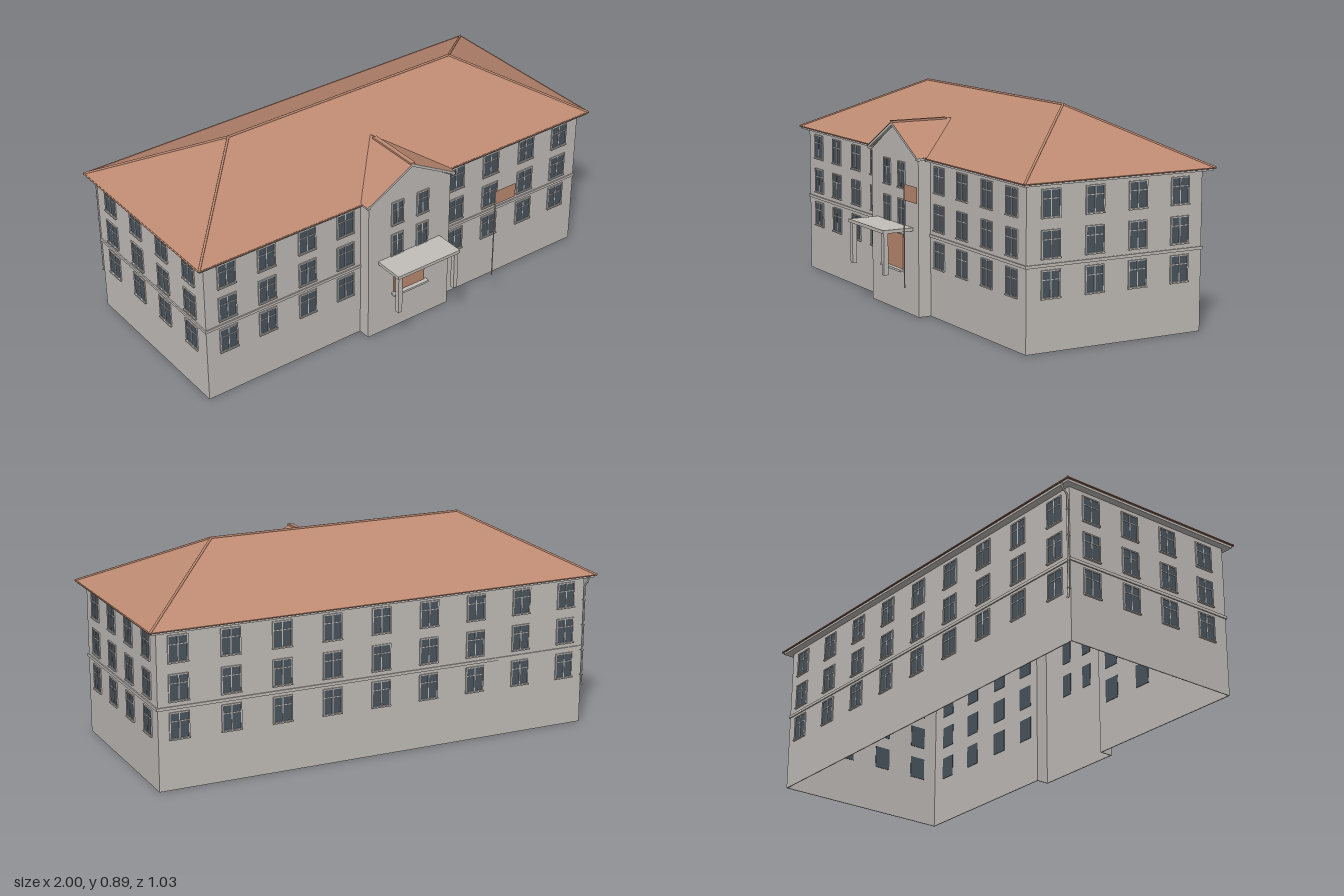
import * as THREE from 'three';

const material = (name, color) => {
  const m = new THREE.MeshStandardMaterial({ color, side: THREE.DoubleSide });
  m.name = name;
  return m;
};

export function createModel() {
  const wallMat = material('wallGrey', 0xc2beba);
  const roofMat = material('tileRed', 0xbe8a72);
  const glassMat = material('windowGlass', 0x4a545e);
  const model = new THREE.Group();

  const add = (name, geo, mat, parent = model) => {
    const m = new THREE.Mesh(geo, mat);
    m.name = name;
    parent.add(m);
    return m;
  };
  // Box given by its min and max corners
  const box = (name, [x0, y0, z0], [x1, y1, z1], mat, parent) => {
    const m = add(name, new THREE.BoxGeometry(x1 - x0, y1 - y0, z1 - z0), mat, parent);
    m.position.set((x0 + x1) / 2, (y0 + y1) / 2, (z0 + z1) / 2);
    return m;
  };
  // Straight round bar between two points
  const bar = (name, a, b, r, mat) => {
    const p = new THREE.Vector3(...a), q = new THREE.Vector3(...b);
    const d = q.clone().sub(p);
    const m = add(name, new THREE.CylinderGeometry(r, r, d.length(), 8), mat);
    m.position.copy(p).add(q).multiplyScalar(0.5);
    m.quaternion.setFromUnitVectors(new THREE.Vector3(0, 1, 0), d.normalize());
  };
  // Flat convex polygon
  const panel = (name, pts, mat) => {
    const g = new THREE.BufferGeometry();
    const v = [];
    for (let i = 1; i < pts.length - 1; i++) v.push(...pts[0], ...pts[i], ...pts[i + 1]);
    g.setAttribute('position', new THREE.Float32BufferAttribute(v, 3));
    g.computeVertexNormals();
    add(name, g, mat);
  };

  const W = 0.96, F = 0.325, B = -0.475, BAY = 0.21, BF = 0.38, T = 0.004;
  // House outline with the entrance bay, inset by t
  const outline = (t) => [
    [-W + t, B + t], [W - t, B + t], [W - t, F - t], [BAY - t, F - t],
    [BAY - t, BF - t], [-BAY + t, BF - t], [-BAY + t, F - t], [-W + t, F - t],
  ].map(([x, z]) => new THREE.Vector2(x, -z));

  // Hollow walls, open at the bottom
  const plan = new THREE.Shape(outline(0));
  plan.holes.push(new THREE.Path(outline(T)));
  const walls = new THREE.ExtrudeGeometry(plan, { depth: 0.648, bevelEnabled: false });
  walls.rotateX(-Math.PI / 2);
  add('walls', walls, wallMat);

  // Gable above the bay
  const tri = new THREE.Shape([[-BAY, 0.645], [BAY, 0.645], [0, 0.775]].map(p => new THREE.Vector2(...p)));
  const gable = new THREE.ExtrudeGeometry(tri, { depth: T, bevelEnabled: false });
  add('bayGable', gable, wallMat).position.z = BF - T;

  // String course around the house, broken at the bay
  const y0 = 0.329, y1 = 0.341, o = 0.005;
  box('bandBack', [-W - o, y0, B - o], [W + o, y1, B], wallMat);
  for (const s of [-1, 1]) {
    const side = s > 0 ? [W, W + o] : [-W - o, -W];
    box('bandSide', [side[0], y0, B - o], [side[1], y1, F + o], wallMat);
    const front = s > 0 ? [BAY, W] : [-W, -BAY];
    box('bandFront', [front[0], y0, F], [front[1], y1, F + o], wallMat);
  }

  // Window: two sashes with transom, raised frame and sill
  const addWindow = (x, y, z, turn, w = 0.075) => {
    const h = 0.1, g = new THREE.Group(), e = 0.005;
    g.name = 'window';
    g.position.set(x, y, z);
    g.rotation.y = turn;
    box('glass', [-w / 2, -h / 2, -0.004], [w / 2, h / 2, 0.004], glassMat, g);
    for (const s of [-1, 1]) {
      const cx = s * (w / 2 + e / 2), cy = s * (h / 2 + e / 2);
      box('frameSide', [cx - e / 2, -h / 2 - e, 0], [cx + e / 2, h / 2 + e, 0.007], wallMat, g);
      box('frameRail', [-w / 2, cy - e / 2, 0], [w / 2, cy + e / 2, 0.007], wallMat, g);
    }
    box('mullion', [-0.002, -h / 2, 0], [0.002, h / 2, 0.006], wallMat, g);
    box('transom', [-w / 2, 0.016, 0], [w / 2, 0.019, 0.0055], wallMat, g);
    box('sill', [-w / 2 - 0.006, -h / 2 - 0.007, 0], [w / 2 + 0.006, -h / 2 - 0.002, 0.011], wallMat, g);
    model.add(g);
  };
  [0.262, 0.415, 0.57].forEach((y, row) => {
    for (const s of [-1, 1]) {
      for (const x of [0.287, 0.475, 0.67, 0.857]) addWindow(s * x, y, F - T / 2, 0);
      for (const z of [0.218, 0.022, -0.174, -0.37]) addWindow(s * (W - T / 2), y, z, s * Math.PI / 2);
      if (row > 0) addWindow(s * 0.065, y, BF - T / 2, 0, 0.052);
    }
    for (let i = -4; i <= 4; i++) addWindow(i * 0.218, y, B + T / 2, Math.PI);
  });

  // Soffit ring under the eaves
  const rect = (x, f, b) => [[-x, -f], [x, -f], [x, -b], [-x, -b]].map(p => new THREE.Vector2(...p));
  const ring = new THREE.Shape(rect(0.99, 0.352, -0.507));
  ring.holes.push(new THREE.Path(rect(W - T, F - T, B + T)));
  const soffit = new THREE.ExtrudeGeometry(ring, { depth: 0.01, bevelEnabled: false });
  soffit.rotateX(-Math.PI / 2);
  add('soffit', soffit, wallMat).position.y = 0.642;

  // Hipped main roof with capped hips, ridge and eaves
  const E = 0.653, R = 0.883, RZ = -0.08;
  const fl = [-0.997, E, 0.357], fr = [0.997, E, 0.357], bl = [-0.997, E, -0.513], br = [0.997, E, -0.513];
  const rl = [-0.565, R, RZ], rr = [0.565, R, RZ];
  panel('roofFront', [fl, fr, rr, rl], roofMat);
  panel('roofBack', [br, bl, rl, rr], roofMat);
  panel('roofRight', [fr, br, rr], roofMat);
  panel('roofLeft', [bl, fl, rl], roofMat);
  for (const [a, b] of [[fl, rl], [bl, rl], [fr, rr], [br, rr], [rl, rr]]) bar('ridgeCap', a, b, 0.005, roofMat);
  for (const [a, b] of [[fl, fr], [fr, br], [br, bl], [bl, fl]]) bar('eavesEdge', a, b, 0.003, roofMat);

  // Bay roof running back into the main slope
  for (const s of [-1, 1]) {
    const slope = [[0, 0.783, 0.395], [s * 0.227, 0.657, 0.395], [s * 0.227, 0.657, 0.345], [0, 0.783, 0.112]];
    panel('bayRoof', s < 0 ? slope : slope.reverse(), roofMat);
    // Pale barge board and eaves board
    const board = new THREE.Shape([[0, 0.781], [s * 0.225, 0.656], [s * 0.225, 0.645], [0, 0.768]]
      .map(p => new THREE.Vector2(...p)));
    add('bargeBoard', new THREE.ExtrudeGeometry(board, { depth: 0.013, bevelEnabled: false }), wallMat)
      .position.z = BF;
    const xs = s > 0 ? [BAY, 0.225] : [-0.225, -BAY];
    box('bayEaves', [xs[0], 0.646, 0.325], [xs[1], 0.655, 0.393], wallMat);
  }
  box('bayRidgeCap', [-0.01, 0.779, 0.14], [0.01, 0.787, 0.395], roofMat);

  // Entrance: door, step, canopy and posts
  box('door', [-0.08, 0.178, BF], [0.08, 0.323, BF + 0.004], roofMat);
  box('doorStep', [-0.09, 0.169, BF], [0.09, 0.178, 0.403], wallMat);
  box('canopy', [-0.16, 0.35, BF], [0.16, 0.364, 0.515], wallMat);
  for (const s of [-1, 1]) box('canopyPost', [s * 0.145 - 0.01, 0.178, 0.49], [s * 0.145 + 0.01, 0.35, 0.51], wallMat);

  // Flag on a pole beside the entrance
  bar('flagPole', [0.342, 0.162, 0.513], [0.342, 0.59, 0.513], 0.0025, wallMat);
  panel('flag', [[0.342, 0.515, 0.513], [0.45, 0.515, 0.513], [0.45, 0.58, 0.513], [0.342, 0.58, 0.513]], roofMat);

  // Downpipe at the back corner with clamps
  const px = -0.958, path = new THREE.CurvePath();
  const pts = [[0.17, -0.492], [0.178, -0.484], [0.605, -0.484], [0.63, -0.508], [0.648, -0.51]]
    .map(([y, z]) => new THREE.Vector3(px, y, z));
  for (let i = 1; i < pts.length; i++) path.add(new THREE.LineCurve3(pts[i - 1], pts[i]));
  add('downpipe', new THREE.TubeGeometry(path, 60, 0.004, 8), wallMat);
  for (const y of [0.21, 0.32, 0.43, 0.54]) box('pipeClamp', [px - 0.005, y, -0.489], [px + 0.005, y + 0.004, B], wallMat);

  return model;
}
